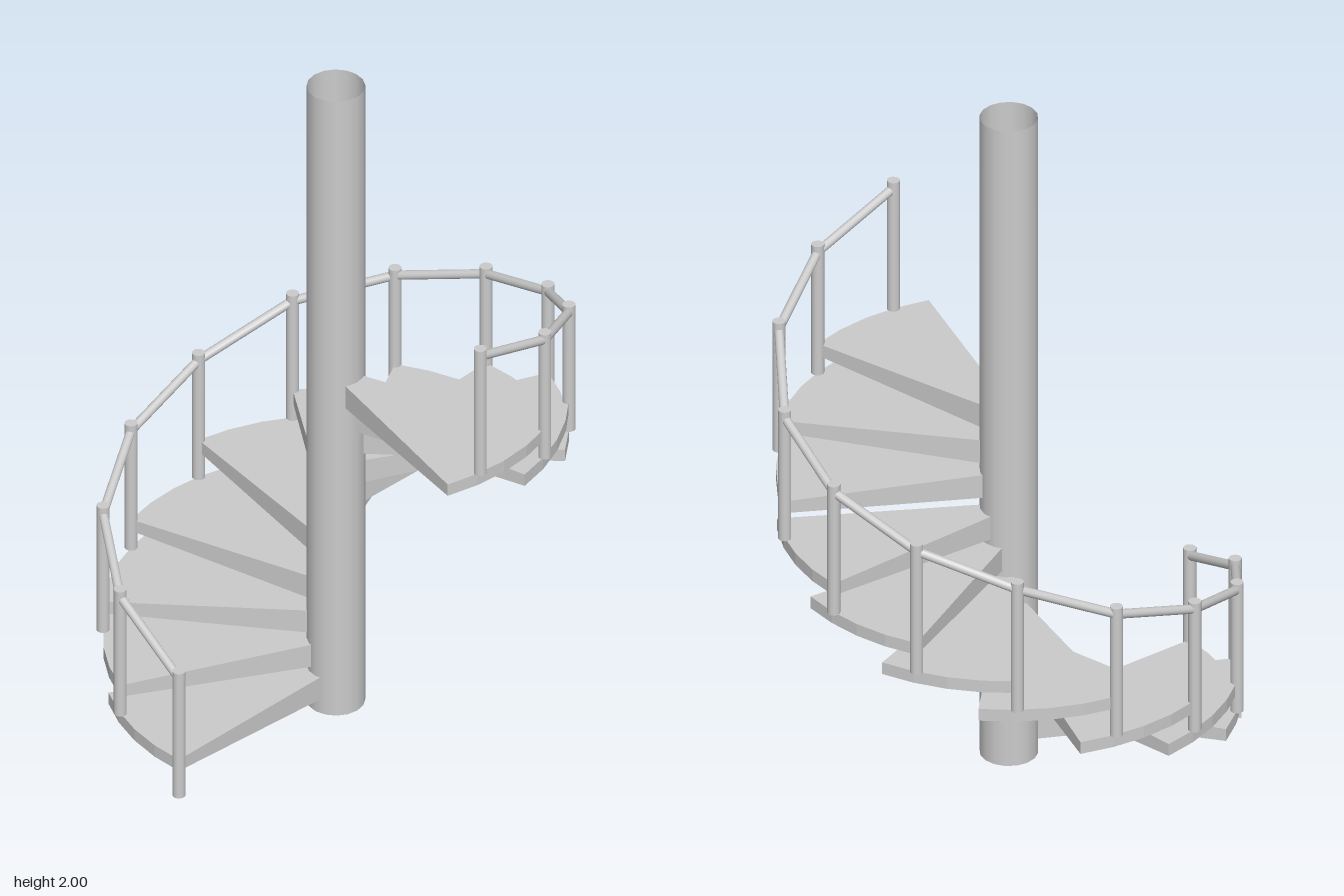
import * as THREE from 'three';

const STEP_TOPS = [0.115, 0.205, 0.295, 0.385, 0.505, 0.595, 0.685, 0.775, 0.89, 0.98, 1.07];
const TURN = THREE.MathUtils.degToRad(25.4);
const FIRST = THREE.MathUtils.degToRad(163.7); // centre line of the lowest step
const HALF = THREE.MathUtils.degToRad(17.5); // half the spread of one step
const RADIUS = 0.632;
const POST_HEIGHT = 0.4;

const material = new THREE.MeshStandardMaterial({ color: 0xcccccc });
const tubeMaterial = new THREE.MeshStandardMaterial({ color: 0xcccccc, side: THREE.DoubleSide });

function add(group, name, geometry, mat = material) {
  const mesh = new THREE.Mesh(geometry, mat);
  mesh.name = name;
  group.add(mesh);
  return mesh;
}

// Wedge with a curved rim; its underside drops towards the pole
function stepGeometry() {
  const shape = new THREE.Shape();
  shape.moveTo(0, -0.015);
  for (let i = 0; i <= 4; i++) {
    const a = -HALF + (2 * HALF * i) / 4;
    shape.lineTo(RADIUS * Math.cos(a), RADIUS * Math.sin(a));
  }
  shape.lineTo(0, 0.015);
  const geometry = new THREE.ExtrudeGeometry(shape, { depth: 1, bevelEnabled: false });
  const p = geometry.attributes.position;
  for (let i = 0; i < p.count; i++) {
    const thickness = 0.077 - 0.0635 * Math.hypot(p.getX(i), p.getY(i));
    p.setZ(i, p.getZ(i) > 0.5 ? 0 : -thickness);
  }
  geometry.rotateX(-Math.PI / 2);
  geometry.computeVertexNormals();
  return geometry;
}

// Straight round bar between two points
function bar(group, name, from, to, radius) {
  const dir = to.clone().sub(from);
  const mesh = add(group, name, new THREE.CylinderGeometry(radius, radius, dir.length(), 12));
  mesh.position.copy(from).addScaledVector(dir, 0.5);
  mesh.quaternion.setFromUnitVectors(new THREE.Vector3(0, 1, 0), dir.normalize());
}

export function createModel() {
  const model = new THREE.Group();
  model.name = 'spiralStaircase';

  // Hollow central pole
  const pole = add(model, 'centralPole', new THREE.CylinderGeometry(0.08, 0.08, 2, 16, 1, true), tubeMaterial);
  pole.position.y = 1;

  // Overlapping steps, climbing clockwise
  const steps = new THREE.Group();
  steps.name = 'steps';
  model.add(steps);
  const wedge = stepGeometry();
  STEP_TOPS.forEach((y, i) => {
    const step = add(steps, 'step', wedge);
    step.position.y = y;
    step.rotation.y = FIRST - i * TURN;
  });

  // Each post stands on the step below, the first one on the ground
  const railing = new THREE.Group();
  railing.name = 'railing';
  model.add(railing);
  const joints = [0, ...STEP_TOPS].map((base, i) => {
    const a = FIRST + HALF - i * TURN;
    const foot = new THREE.Vector3(RADIUS * Math.cos(a), base, -RADIUS * Math.sin(a));
    const top = foot.clone().setY(base + POST_HEIGHT + 0.005);
    bar(railing, 'railingPost', foot, top, 0.018);
    return top.setY(top.y - 0.025);
  });

  // Handrail in straight lengths from post to post
  for (let i = 1; i < joints.length; i++) {
    bar(railing, 'handrail', joints[i - 1], joints[i], 0.013);
  }
  return model;
}
